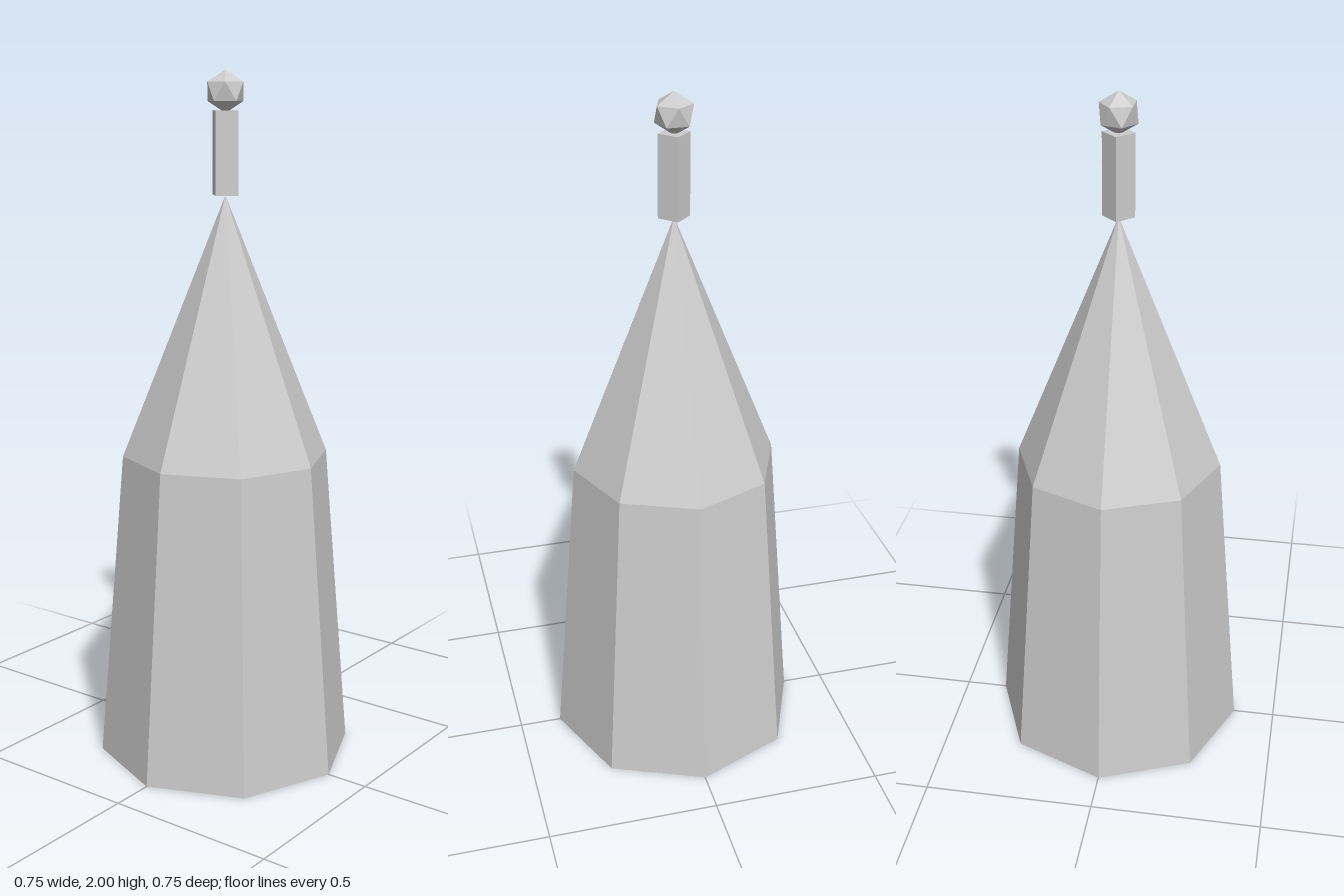
import * as THREE from 'three';

export function createModel() {
  const group = new THREE.Group();
  const grey = new THREE.MeshStandardMaterial({ color: 0xcccccc, flatShading: true });
  grey.name = 'plain grey';

  const add = (name, geometry, y) => {
    const mesh = new THREE.Mesh(geometry, grey);
    mesh.name = name;
    mesh.position.y = y;
    group.add(mesh);
  };
  // Tapered prism standing between two heights
  const prism = (name, rTop, rBottom, y0, y1, sides, open = false) =>
    add(name, new THREE.CylinderGeometry(rTop, rBottom, y1 - y0, sides, 1, open), (y0 + y1) / 2);

  // Eight-sided tower and its pointed roof
  prism('towerBody', 0.3, 0.376, 0, 0.91, 8);
  prism('roof', 0, 0.3, 0.91, 1.657, 8, true);

  // Square post on the roof tip
  prism('finialPost', 0.045, 0.045, 1.657, 1.89, 4);

  // Faceted knob, turned so that one corner points up
  const r = 0.0587;
  const knob = new THREE.IcosahedronGeometry(r, 0);
  knob.rotateZ(Math.atan(2 / (1 + Math.sqrt(5))));
  knob.rotateY(Math.PI);
  add('finialKnob', knob, 2 - r);

  return group;
}
